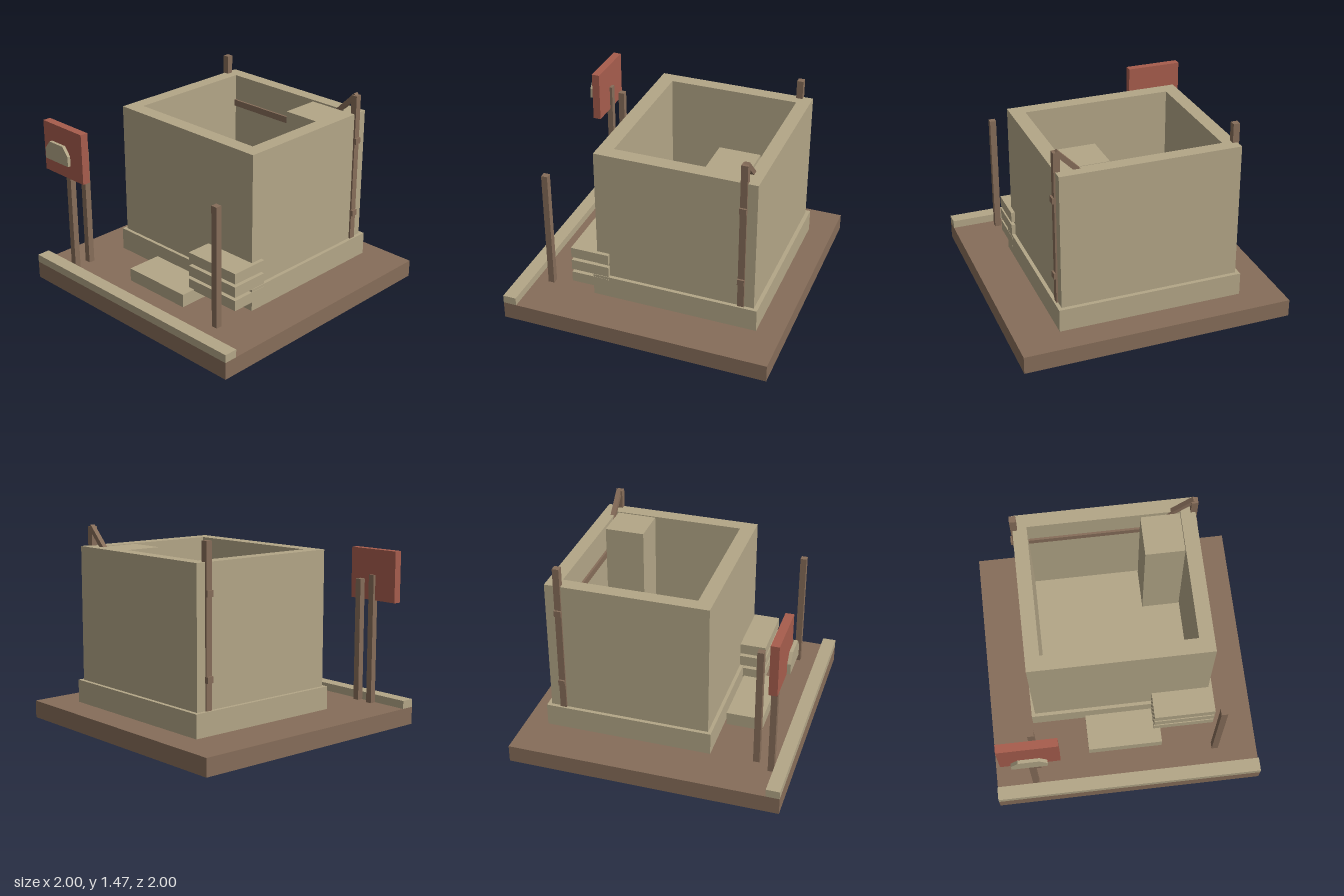
import * as THREE from 'three';

function flat(name, hex) {
  const m = new THREE.MeshStandardMaterial({ color: hex });
  m.name = name;
  return m;
}

export function createModel() {
  const model = new THREE.Group();
  model.name = 'walledHut';
  const stone = flat('sandStone', 0xb3a687);
  const wood = flat('brownWood', 0x866d59);
  const red = flat('signRed', 0xa75d4d);

  const add = (name, geometry, material) => {
    const mesh = new THREE.Mesh(geometry, material);
    mesh.name = name;
    model.add(mesh);
    return mesh;
  };
  // Box given by its limits along each axis
  const box = (name, material, [x0, x1], [y0, y1], [z0, z1]) => {
    const mesh = add(name, new THREE.BoxGeometry(x1 - x0, y1 - y0, z1 - z0), material);
    mesh.position.set((x0 + x1) / 2, (y0 + y1) / 2, (z0 + z1) / 2);
    return mesh;
  };
  const polygon = (points) => new THREE.Shape(points.map(([x, y]) => new THREE.Vector2(x, y)));

  // Ground, kerb and plinth
  box('ground', wood, [-1, 1], [0, 0.13], [-1, 1]);
  box('kerb', stone, [-1, 1], [0.13, 0.19], [0.9, 1]);
  box('plinth', stone, [-0.685, 0.685], [0.15, 0.32], [-0.82, 0.42]);

  // Four walls around an open room
  const outline = polygon([[-0.658, -0.395], [0.658, -0.395], [0.658, 0.79], [-0.658, 0.79]]);
  outline.holes.push(polygon([[-0.555, -0.285], [-0.555, 0.69], [0.55, 0.69], [0.55, -0.285]]));
  const walls = add('walls', new THREE.ExtrudeGeometry(outline, { depth: 1, bevelEnabled: false }), stone);
  walls.rotation.x = -Math.PI / 2;
  walls.position.y = 0.32;

  // Room fittings
  box('cornerBlock', stone, [0.26, 0.547], [0.32, 1.315], [-0.675, -0.38]);
  box('backRail', wood, [-0.555, 0.55], [1.07, 1.12], [-0.692, -0.674]);

  // Front step and stacked slabs
  box('frontStep', stone, [-0.28, 0.28], [0.13, 0.23], [0.43, 0.7]);
  [[0.22, 0.3], [0.325, 0.405], [0.43, 0.51]].forEach((y, i) =>
    box(`slab${i + 1}`, stone, [0.23, 0.687], y, [0.3, 0.59]));

  // Side posts with clamps, and front posts
  for (const s of [-1, 1]) {
    const side = s > 0 ? 'left' : 'right';
    const span = (a, b) => (s > 0 ? [a, b] : [-b, -a]);
    box(`${side}WallPost`, wood, span(0.623, 0.671), [0.32, 1.46], [-0.718, -0.67]);
    for (const y of [0.51, 1.09])
      box(`${side}Clamp`, wood, span(0.64, 0.685), [y, y + 0.045], [-0.719, -0.669]);
    box(`${side}FrontPost`, wood, span(0.654, 0.701), [0.17, 1.08], [0.737, 0.783]);
  }

  // Slanting brace on the left wall post
  const brace = add('brace', new THREE.BoxGeometry(0.28, 0.036, 0.036), wood);
  brace.position.set(0.55, 1.362, -0.7);
  brace.rotation.z = Math.PI / 4;

  // Sign with raised emblem panel
  box('signPost', wood, [-0.727, -0.68], [0.13, 1.1], [0.85, 0.895]);
  box('signBoard', red, [-0.915, -0.49], [0.91, 1.29], [0.87, 0.93]);
  const emblem = polygon([[-0.828, 1.04], [-0.577, 1.04], [-0.577, 1.115],
    [-0.628, 1.18], [-0.777, 1.18], [-0.828, 1.115]]);
  add('signPanel', new THREE.ExtrudeGeometry(emblem, { depth: 0.024, bevelEnabled: false }), stone)
    .position.z = 0.966;

  return model;
}
